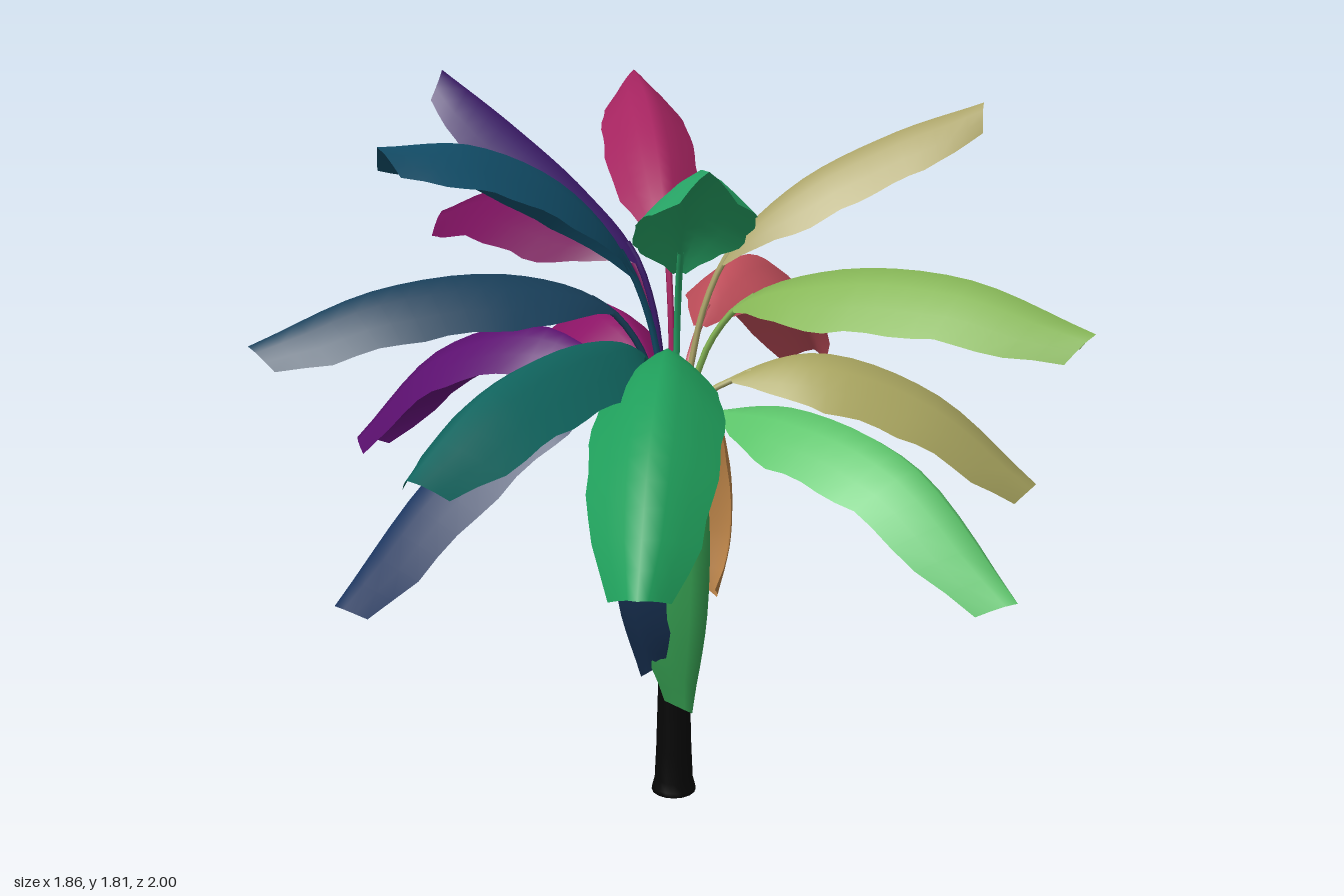
import * as THREE from 'three';

const CX = 0.036, CZ = 0.012; // the trunk stands slightly off centre
const UP = new THREE.Vector3(0, 1, 0);

// Spreading leaves: tip x, tip z, rib heights at the fractions below, full width, colour
const FRACTIONS = [0.15, 0.38, 0.7, 1];
const SPREADING = [
  // upright ring
  [-0.74, -0.1, [1.37, 1.59, 1.715, 1.735], 0.22, 0x124e69],
  [-0.51, 0.63, [1.39, 1.58, 1.7, 1.745], 0.25, 0x28a868],
  [-0.215, -0.52, [1.38, 1.54, 1.69, 1.81], 0.22, 0x3a1868],
  [0.53, -0.62, [1.38, 1.58, 1.7, 1.735], 0.23, 0xa62460],
  [0.59, 0.48, [1.38, 1.56, 1.68, 1.75], 0.21, 0xaca468],
  // middle ring
  [-0.85, -0.46, [1.28, 1.38, 1.37, 1.26], 0.27, 0x183f5a],
  [-0.93, 0.2, [1.2, 1.27, 1.25, 1.12], 0.28, 0x10645e],
  [0.16, -1.0, [1.36, 1.44, 1.455, 1.35], 0.29, 0x741058],
  [0.93, -0.3, [1.2, 1.32, 1.23, 0.94], 0.29, 0xbc4c58],
  [0.37, 0.96, [1.29, 1.4, 1.415, 1.32], 0.31, 0x86b656],
  // low ring
  [-0.68, 0.6, [1.2, 1.24, 1.14, 0.9], 0.29, 0x20a05c],
  [-0.69, -0.41, [1.12, 1.13, 0.92, 0.6], 0.29, 0x1a3560],
  [-0.2, -0.95, [1.09, 1.18, 1.08, 0.79], 0.25, 0x5c1070],
  [0.41, -0.93, [1.1, 1.19, 1.09, 0.8], 0.27, 0x8c1466],
  [0.68, 0.63, [1.1, 1.16, 1.06, 0.82], 0.29, 0xa8a45f],
  [0.07, 1.0, [1.05, 1.1, 1.04, 0.79], 0.28, 0x5cc46a],
];

// Hanging leaves: heading x, heading z, [distance out, height] along the rib, width, colour
const HANGING = [
  [0.08, 1, [[0.06, 1.03], [0.1, 0.8], [0.1, 0.5], [0.06, 0.23]], 0.22, 0x38a454],
  [1, 0.05, [[0.11, 1.03], [0.18, 0.87], [0.19, 0.66], [0.15, 0.49]], 0.15, 0xbc8448],
  [0.1, -1, [[0.07, 1.03], [0.11, 0.82], [0.12, 0.56], [0.08, 0.31]], 0.2, 0xa8245a],
  [-1, -0.2, [[0.09, 1.04], [0.16, 0.83], [0.17, 0.58], [0.1, 0.34]], 0.2, 0x162e4e],
];

const WIDTHS = [0.12, 0.52, 0.82, 0.96, 1, 0.99, 0.93, 0.8, 0.45];

// Folded blade swept along the rib, edges drooping to the underside
function bladeGeometry(curve, side, width, seed) {
  const rows = 16, cols = 6, pos = [], index = [];
  for (let i = 0; i <= rows; i++) {
    const s = i / rows, t = 0.25 + 0.75 * s;
    const p = curve.getPoint(t), tangent = curve.getTangent(t);
    const normal = side.clone().cross(tangent).normalize();
    const k = s * (WIDTHS.length - 1), a = Math.min(Math.floor(k), WIDTHS.length - 2);
    const half = width / 2 * THREE.MathUtils.lerp(WIDTHS[a], WIDTHS[a + 1], k - a);
    const droop = 0.55 * half + 0.03 * Math.min(1, s * 3);
    for (let j = 0; j <= cols; j++) {
      const v = j / cols * 2 - 1, e = Math.abs(v);
      const wave = 1 + 0.025 * e * Math.sin(i * 1.7 + seed + v * 2);
      const q = p.clone().addScaledVector(side, v * half * wave)
        .addScaledVector(normal, -droop * Math.pow(e, 1.3) * wave)
        .addScaledVector(tangent, -0.03 * e * s);
      pos.push(q.x, q.y, q.z);
      if (i < rows && j < cols) {
        const b = i * (cols + 1) + j, c = b + cols + 1;
        index.push(b, b + 1, c, b + 1, c + 1, c);
      }
    }
  }
  const g = new THREE.BufferGeometry();
  g.setAttribute('position', new THREE.Float32BufferAttribute(pos, 3));
  g.setIndex(index);
  g.computeVertexNormals();
  return g;
}

function makeLeaf(hx, hz, rib, width, color, seed) {
  const heading = new THREE.Vector3(hx, 0, hz).normalize();
  const side = heading.clone().cross(UP);
  const points = [[0.012, 1.0], ...rib].map(([r, y]) =>
    new THREE.Vector3(CX + heading.x * r, y, CZ + heading.z * r));
  const curve = new THREE.CatmullRomCurve3(points);
  const material = new THREE.MeshStandardMaterial({ color, side: THREE.DoubleSide });

  const leaf = new THREE.Group();
  leaf.name = 'leaf';
  const blade = new THREE.Mesh(bladeGeometry(curve, side, width, seed), material);
  blade.name = 'leafBlade';

  // stem runs from the crown to just under the blade
  const stemPoints = [0, 0.08, 0.16, 0.25, 0.32].map((t) =>
    curve.getPoint(t).addScaledVector(UP, t > 0.2 ? -0.008 : 0));
  const stem = new THREE.Mesh(
    new THREE.TubeGeometry(new THREE.CatmullRomCurve3(stemPoints), 10, 0.008, 6), material);
  stem.name = 'leafStem';
  leaf.add(blade, stem);
  return leaf;
}

export function createModel() {
  const model = new THREE.Group();
  model.name = 'palmPlant';

  // tapered trunk with a flared foot
  const profile = [[0, 0], [0.057, 0], [0.055, 0.012], [0.049, 0.035], [0.045, 0.12], [0.04, 0.3],
    [0.035, 0.55], [0.032, 0.85], [0.03, 1.0], [0.02, 1.06], [0, 1.08]];
  const trunk = new THREE.Mesh(
    new THREE.LatheGeometry(profile.map(([r, y]) => new THREE.Vector2(r, y)), 16),
    new THREE.MeshStandardMaterial({ color: 0x060606 }));
  trunk.name = 'trunk';
  trunk.position.set(CX, 0, CZ);
  model.add(trunk);

  SPREADING.forEach(([x, z, heights, width, color], i) => {
    const dx = x - CX, dz = z - CZ, reach = Math.hypot(dx, dz);
    const rib = heights.map((y, k) => [reach * FRACTIONS[k], y]);
    model.add(makeLeaf(dx, dz, rib, width, color, i));
  });
  HANGING.forEach(([hx, hz, rib, width, color], i) => {
    model.add(makeLeaf(hx, hz, rib, width, color, i + 20));
  });
  return model;
}
